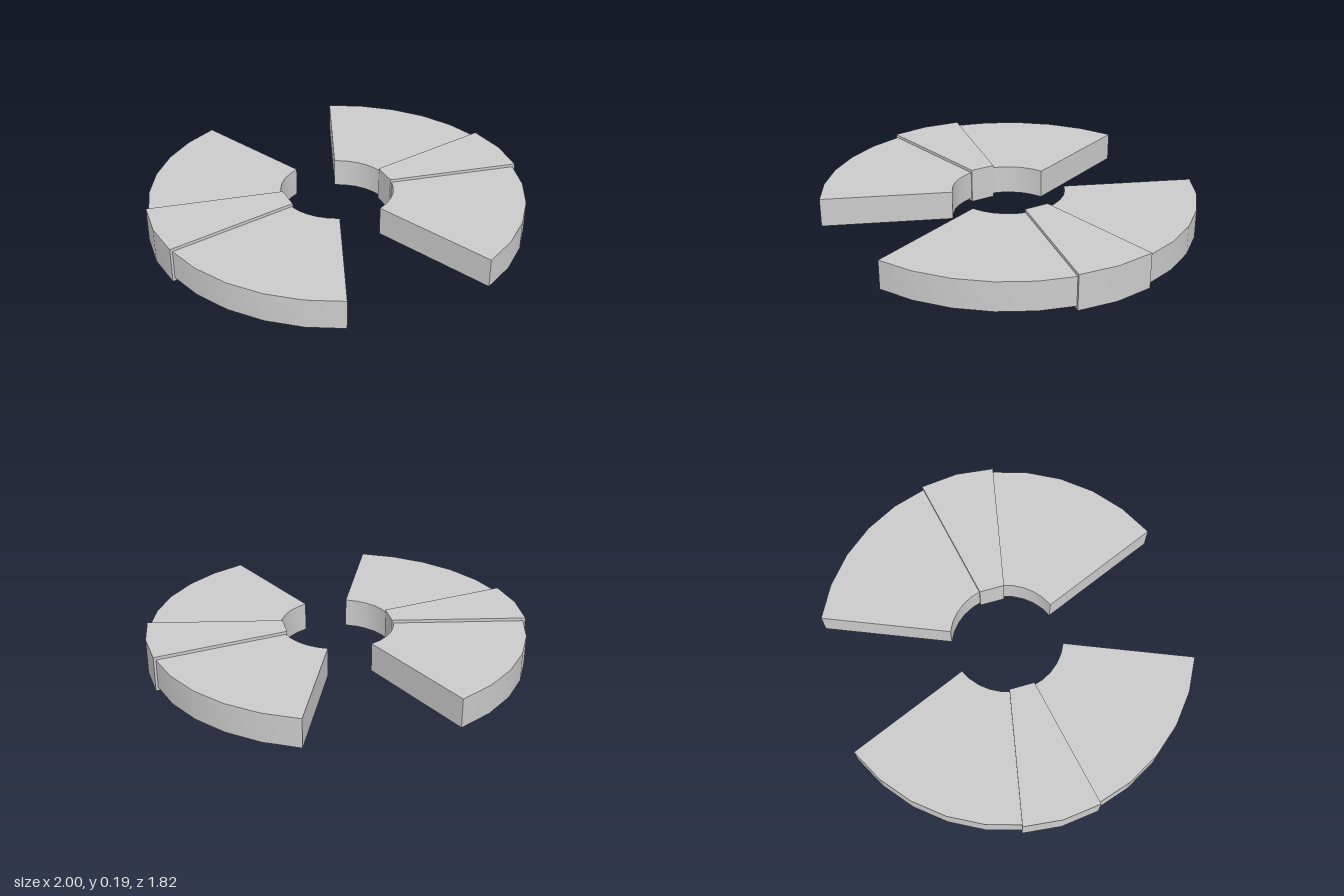
import * as THREE from 'three';
import { toCreasedNormals } from 'three/addons/utils/BufferGeometryUtils.js';

const STEP = Math.PI / 16;          // facet angle of the ring
const OUTER = 0.986, INNER = 0.297; // ring radii
const material = new THREE.MeshStandardMaterial({ color: 0xcccccc });

// Flat outline [x, z] raised from y0 to y1
function slab(name, points, y0, y1) {
  const shape = new THREE.Shape(points.map(([x, z]) => new THREE.Vector2(x, -z)));
  const geometry = new THREE.ExtrudeGeometry(shape, { depth: y1 - y0, bevelEnabled: false });
  geometry.rotateX(-Math.PI / 2);
  geometry.translate(0, y0, 0);
  const mesh = new THREE.Mesh(toCreasedNormals(geometry, Math.PI / 6), material);
  mesh.name = name;
  return mesh;
}

// Points along an arc, one per facet corner
function arc(radius, from, to) {
  const points = [];
  const dir = Math.sign(to - from);
  for (let i = from; i !== to + dir; i += dir) {
    points.push([radius * Math.cos(i * STEP), radius * Math.sin(i * STEP)]);
  }
  return points;
}

export function createModel() {
  const model = new THREE.Group();
  model.name = 'splitRing';

  for (const [side, turn] of [['left', 0], ['right', Math.PI]]) {
    const half = new THREE.Group();
    half.name = side + 'Half';
    half.rotation.y = turn;

    // Two thin sectors, front and back of the middle wedge
    for (const [end, a, b] of [['A', 1, 6], ['B', -6, -1]]) {
      half.add(slab('sector' + end, [...arc(OUTER, a, b), ...arc(INNER, b, a)], 0.017, 0.171));
    }

    // Slightly thicker wedge, standing proud on every side
    half.add(slab('middleWedge', [
      [0.282, -0.067], [0.977, -0.203], [1, 0], [0.977, 0.203], [0.282, 0.067],
    ], 0, 0.187));
    model.add(half);
  }
  return model;
}
